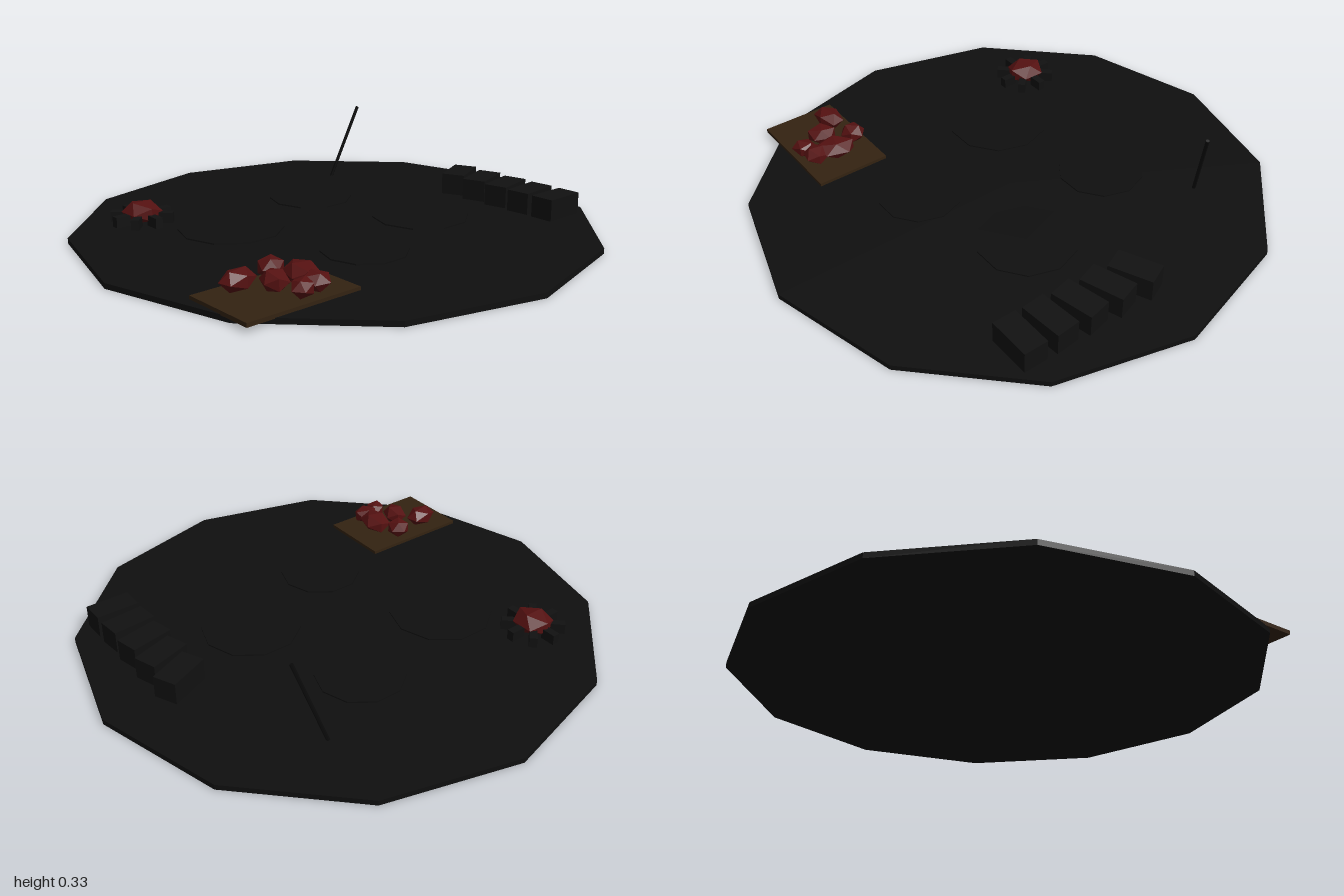
import * as THREE from 'three';

const mat = (name, color) => {
  const m = new THREE.MeshStandardMaterial({ color, flatShading: true });
  m.name = name;
  return m;
};

export function createModel() {
  const model = new THREE.Group();
  const ground = mat('charcoal ground', 0x0f0f0f);
  const dark = mat('dark wood', 0x111111);
  const black = mat('black', 0x0a0a0a);
  const red = mat('deep red', 0x551111);
  const brown = mat('brown board', 0x332211);

  const add = (name, geo, material, x, y, z, parent = model) => {
    const mesh = new THREE.Mesh(geo, material);
    mesh.name = name;
    mesh.position.set(x, y, z);
    parent.add(mesh);
    return mesh;
  };

  // Twelve-sided base
  add('base', new THREE.CylinderGeometry(1, 1, 0.02, 12), ground, 0, 0.01, 0);

  // Barely raised floor patches: x, z, radius
  const patches = [[-0.35, -0.2, 0.2], [0.15, -0.33, 0.168], [0.3, 0.155, 0.19], [-0.15, 0.32, 0.16]];
  for (const [x, z, r] of patches) {
    const patch = add('floorPatch', new THREE.CylinderGeometry(r, r, 0.006, 10), ground, x, 0.022, z);
    patch.rotation.y = Math.PI / 2;
  }

  // Curved row of crates
  [24, 18, 12, 5, 0].forEach((deg, i) => {
    const crate = add('crate', new THREE.BoxGeometry(0.17, 0.086, 0.094), dark, 0.7, 0.062, i * 0.125 - 0.003);
    crate.rotation.y = THREE.MathUtils.degToRad(deg);
  });

  // Leaning pole
  const foot = new THREE.Vector3(0.45, 0.01, -0.545);
  const tip = new THREE.Vector3(0.545, 0.33, -0.475);
  const dir = tip.clone().sub(foot);
  const pole = add('pole', new THREE.CylinderGeometry(0.007, 0.007, dir.length(), 6), black, 0, 0, 0);
  pole.position.copy(foot).add(tip).multiplyScalar(0.5);
  pole.quaternion.setFromUnitVectors(new THREE.Vector3(0, 1, 0), dir.normalize());

  // Fire pit: ember lump inside a ring of short logs
  const fire = new THREE.Group();
  fire.name = 'firePit';
  fire.position.set(-0.55, 0, -0.5);
  model.add(fire);
  for (let i = 0; i < 8; i++) {
    const a = (i * Math.PI) / 4;
    const log = add('fireLog', new THREE.BoxGeometry(0.06, 0.04, 0.03), dark, Math.cos(a) * 0.09, 0.04, -Math.sin(a) * 0.09, fire);
    log.rotation.y = a;
  }
  const ember = add('ember', new THREE.IcosahedronGeometry(1, 0), red, 0, 0.06, 0, fire);
  ember.scale.set(0.075, 0.046, 0.085);

  // Board with red chunks: x, z, half width, half height, half depth, turn
  add('board', new THREE.BoxGeometry(0.45, 0.015, 0.295), brown, -0.65, 0.025, 0.448);
  const chunks = [
    [-0.743, 0.375, 0.072, 0.04, 0.05, 0.2],
    [-0.593, 0.35, 0.05, 0.04, 0.05, 0.9],
    [-0.66, 0.455, 0.05, 0.04, 0.062, -0.4],
    [-0.55, 0.455, 0.062, 0.04, 0.085, -0.3],
    [-0.625, 0.55, 0.055, 0.034, 0.042, 0.6],
    [-0.56, 0.535, 0.052, 0.036, 0.055, 1.4],
  ];
  for (const [x, z, w, h, d, turn] of chunks) {
    const chunk = add('redChunk', new THREE.IcosahedronGeometry(1, 0), red, x, 0.033 + h, z);
    chunk.scale.set(w, h, d);
    chunk.rotation.y = turn;
  }
  return model;
}
